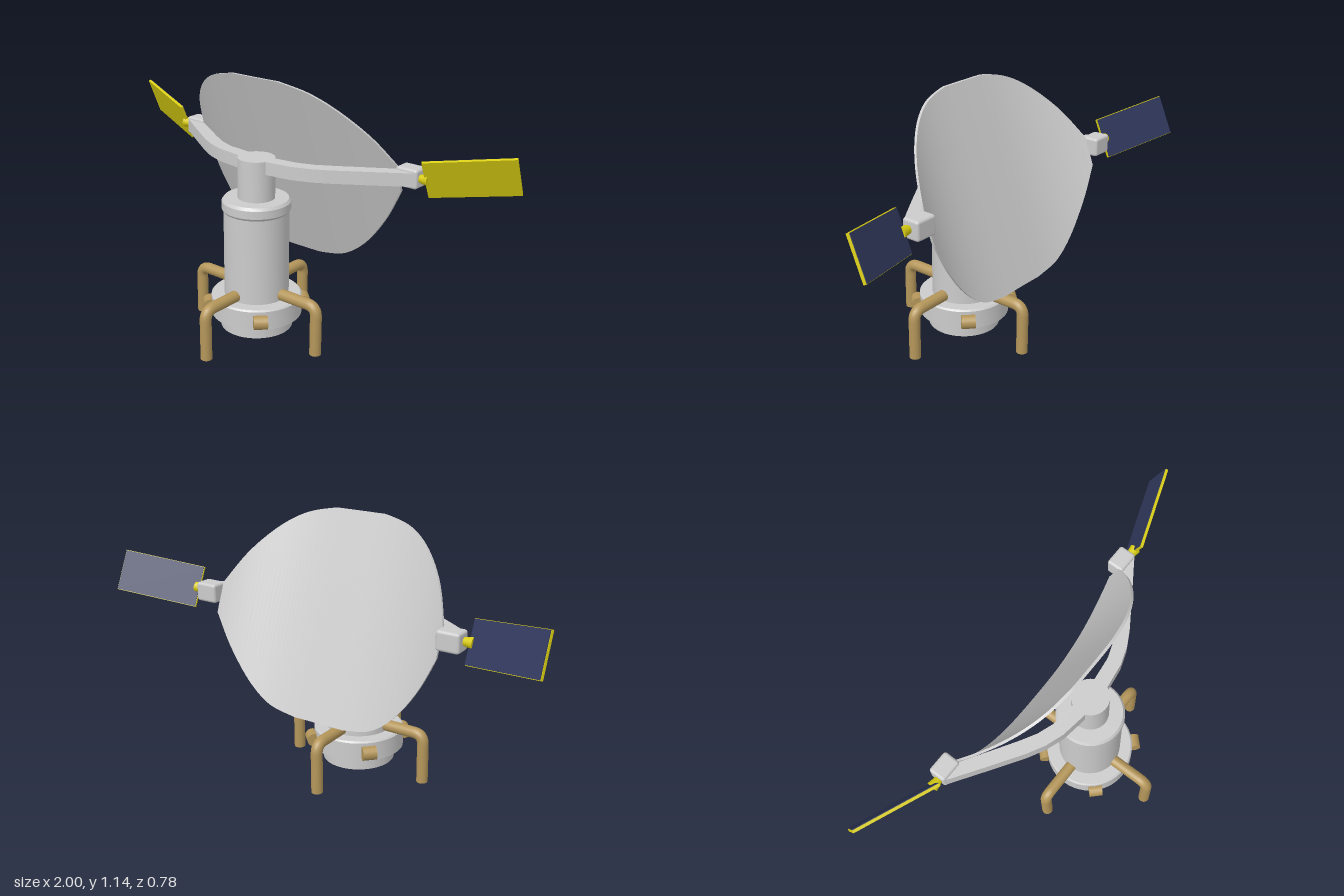
import * as THREE from 'three';
import { toCreasedNormals } from 'three/addons/utils/BufferGeometryUtils.js';
import { RoundedBoxGeometry } from 'three/addons/geometries/RoundedBoxGeometry.js';

const mat = (color) => new THREE.MeshStandardMaterial({ color });
const grey = mat(0xcccccc);
const tan = mat(0xb4965a);
const yellow = mat(0xd8cc12);
const navy = mat(0x30385c);

function add(parent, name, geometry, material) {
  const mesh = new THREE.Mesh(geometry, material);
  mesh.name = name;
  parent.add(mesh);
  return mesh;
}

// Reflector: a sheet bent across x and straight along its tilted height
function dishGeometry() {
  const curve = (pts) => new THREE.SplineCurve(pts.map(([x, y]) => new THREE.Vector2(x, y))).getPoints(24);
  const top = curve([[0.12, 1.145], [0.25, 1.115], [0.36, 1.05], [0.46, 0.945], [0.53, 0.82]]);
  const bottom = curve([[0.12, 0.313], [0.25, 0.342], [0.36, 0.425], [0.46, 0.56], [0.53, 0.7]]);
  const heightAt = (pts, x) => {
    const a = Math.abs(x);
    if (a <= pts[0].x) return pts[0].y;
    const i = Math.max(1, pts.findIndex((p) => p.x >= a - 1e-6));
    const t = (a - pts[i - 1].x) / (pts[i].x - pts[i - 1].x);
    return THREE.MathUtils.lerp(pts[i - 1].y, pts[i].y, t);
  };
  const depthAt = (x, y) => 0.051 - 0.38 * (1.145 - y) - 0.132 * Math.pow(Math.abs(x) / 0.53, 3);
  const section = (x) => {
    const hi = heightAt(top, x), lo = heightAt(bottom, x), t = 0.012;
    return [[x, hi, depthAt(x, hi)], [x, hi, depthAt(x, hi) - t],
      [x, lo, depthAt(x, lo) - t], [x, lo, depthAt(x, lo)]];
  };
  const pos = [];
  const quad = (a, b, c, d) => pos.push(...a, ...b, ...c, ...a, ...c, ...d);
  const n = 64;
  const rows = Array.from({ length: n + 1 }, (_, i) => section(0.53 * (2 * i / n - 1)));
  for (let i = 0; i < n; i++) {
    for (let k = 0; k < 4; k++) {
      const m = (k + 1) % 4;
      quad(rows[i][k], rows[i + 1][k], rows[i + 1][m], rows[i][m]);
    }
  }
  quad(...rows[0]);
  quad(rows[n][3], rows[n][2], rows[n][1], rows[n][0]);
  const g = new THREE.BufferGeometry();
  g.setAttribute('position', new THREE.Float32BufferAttribute(pos, 3));
  return toCreasedNormals(g, 0.6);
}

// Swept arm outline in plan, mirrored about x = 0 and extruded upward
function armGeometry() {
  const front = [[0.62, -0.2], [0.48, -0.107], [0.34, -0.016], [0.27, 0.022], [0.19, 0.05], [0.08, 0.066]];
  const back = [[0.06, 0.005], [0.18, -0.01], [0.25, -0.035], [0.32, -0.075], [0.44, -0.15], [0.56, -0.225], [0.6, -0.24]];
  const flip = (pts) => pts.map(([x, z]) => [-x, z]).reverse();
  const outline = [...front, ...flip(front), ...flip(back), ...back];
  const shape = new THREE.Shape(outline.map(([x, z]) => new THREE.Vector2(x, -z)));
  const g = new THREE.ExtrudeGeometry(shape, { depth: 0.056, bevelEnabled: false });
  g.rotateX(-Math.PI / 2);
  g.translate(0, 0.752, 0);
  return toCreasedNormals(g, 0.5);
}

function solarWing(side) {
  const wing = new THREE.Group();
  wing.name = side > 0 ? 'leftWing' : 'rightWing';

  const block = add(wing, 'hingeBlock', new RoundedBoxGeometry(0.1, 0.082, 0.078, 2, 0.012), grey);
  block.position.set(side * 0.579, 0.78, -0.238);

  // Tapered lug joining the block to the panel
  const lug = add(wing, 'panelLug', new THREE.CylinderGeometry(0.024, 0.016, 0.045, 16), yellow);
  lug.rotation.z = -side * Math.PI / 2;
  lug.position.set(side * 0.645, 0.782, -0.23);

  // Panel axes: along the span, across the width, out of the front
  const span = new THREE.Vector3(0.34, side * 0.055, -side * 0.12).normalize();
  const across = new THREE.Vector3(0, 0.163, 0.072).normalize();
  const normal = new THREE.Vector3().crossVectors(span, across).normalize();
  across.crossVectors(normal, span);
  const panel = new THREE.Group();
  panel.name = 'solarPanel';
  panel.quaternion.setFromRotationMatrix(new THREE.Matrix4().makeBasis(span, across, normal));
  panel.position.set(side * 0.824, 0.81, -0.286);
  wing.add(panel);
  add(panel, 'panelFrame', new THREE.BoxGeometry(0.367, 0.178, 0.012), yellow);
  add(panel, 'solarCells', new THREE.BoxGeometry(0.363, 0.174, 0.003), navy).position.z = -0.0075;
  return wing;
}

// Bent tube leg running outward along +x, then down to the ground
function legGeometry() {
  const v = (x, y) => new THREE.Vector3(x, y, 0);
  const path = new THREE.CurvePath();
  path.add(new THREE.LineCurve3(v(0.12, 0.22), v(0.28, 0.22)));
  path.add(new THREE.QuadraticBezierCurve3(v(0.28, 0.22), v(0.325, 0.22), v(0.325, 0.175)));
  path.add(new THREE.LineCurve3(v(0.325, 0.175), v(0.325, 0)));
  return new THREE.TubeGeometry(path, 48, 0.025, 20, false);
}

// Pedestal: column with open foot, collar, cap and neck, on four legs with pins between
function pedestal() {
  const group = new THREE.Group();
  group.name = 'pedestal';
  const profile = [[0, 0.19], [0.13, 0.19], [0.13, 0.045], [0.157, 0.045], [0.157, 0.085], [0.197, 0.105],
    [0.197, 0.188], [0.19, 0.195], [0.14, 0.195], [0.14, 0.575], [0.147, 0.585], [0.147, 0.62],
    [0.138, 0.632], [0.079, 0.632], [0.079, 0.808], [0, 0.808]];
  const lathe = new THREE.LatheGeometry(profile.map(([r, y]) => new THREE.Vector2(r, y)), 48);
  add(group, 'column', toCreasedNormals(lathe, 0.4), grey);

  const legGeo = legGeometry();
  const footGeo = new THREE.CircleGeometry(0.025, 20).rotateX(Math.PI / 2).translate(0.325, 0, 0);
  const pinGeo = new THREE.CylinderGeometry(0.03, 0.03, 0.06, 20).rotateX(Math.PI / 2).translate(0.205, 0.145, 0);
  for (let i = 0; i < 4; i++) {
    const leg = new THREE.Group();
    leg.name = 'leg';
    leg.rotation.y = i * Math.PI / 2;
    add(leg, 'legTube', legGeo, tan);
    add(leg, 'legFoot', footGeo, tan);
    group.add(leg);
    add(group, 'collarPin', pinGeo, tan).rotation.y = (i + 0.5) * Math.PI / 2;
  }
  return group;
}

export function createModel() {
  const model = new THREE.Group();
  model.name = 'dishAntenna';
  const base = pedestal();
  base.position.set(0.003, 0, 0.038);
  model.add(base);
  add(model, 'supportArm', armGeometry(), grey);
  add(model, 'dish', dishGeometry(), grey);
  for (const side of [1, -1]) model.add(solarWing(side));
  return model;
}
